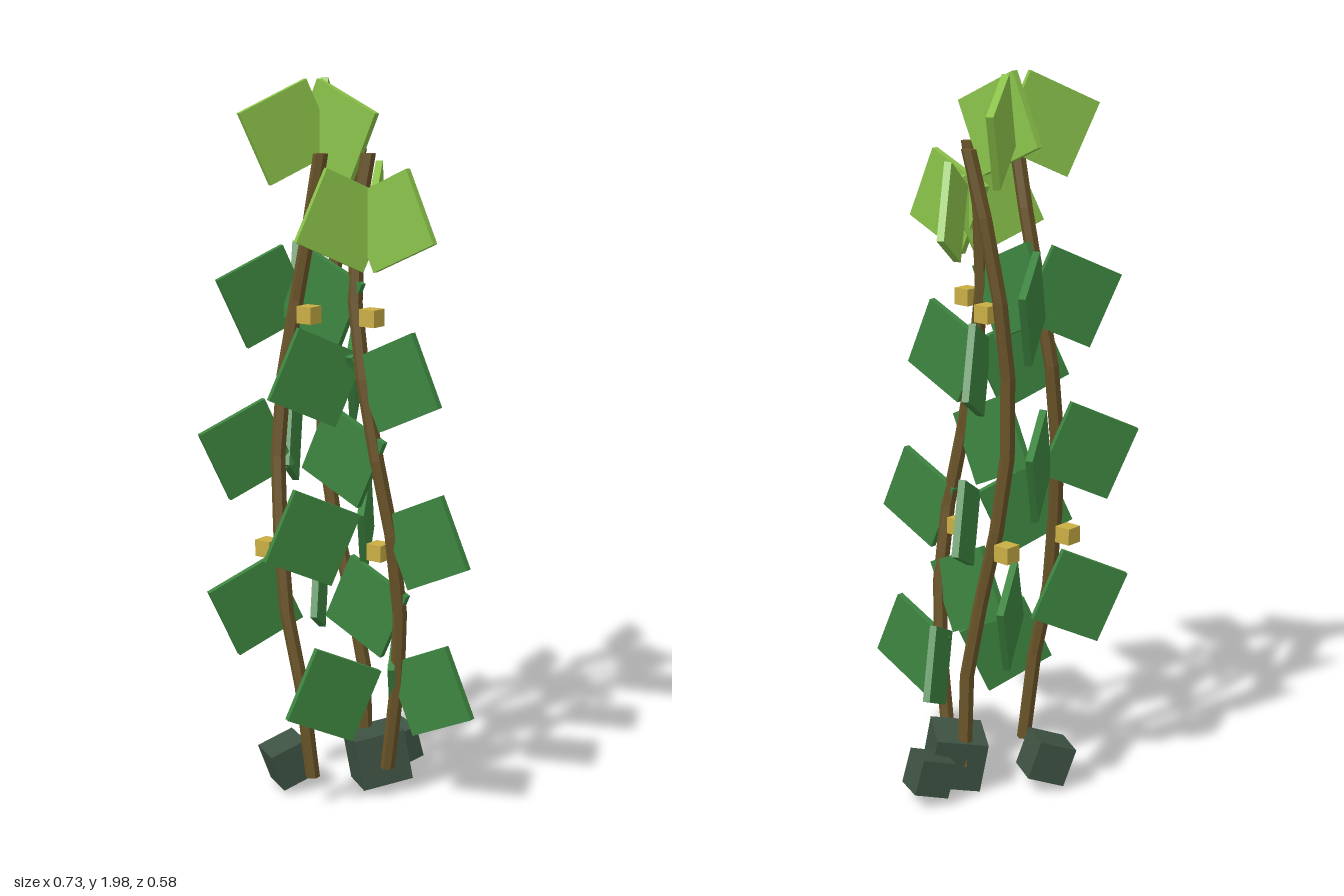
import * as THREE from 'three';

const mat = (name, color) => {
  const m = new THREE.MeshStandardMaterial({ color, flatShading: true });
  m.name = name;
  return m;
};

export function createModel() {
  const model = new THREE.Group();
  model.name = 'climbingVine';

  const bark = mat('bark brown', 0x6b5529);
  const leafGreen = mat('leaf green', 0x3d8540);
  const youngGreen = mat('young leaf green', 0x8bc34a);
  const budGold = mat('bud gold', 0xc9ae45);
  const stone = mat('mossy stone', 0x3d5242);

  const add = (parent, name, geometry, material, x, y, z) => {
    const mesh = new THREE.Mesh(geometry, material);
    mesh.name = name;
    mesh.position.set(x, y, z);
    parent.add(mesh);
    return mesh;
  };

  // Each stem: [x, z] at the shared heights, with the yaw of its leaves
  const heights = [0.1, 0.36, 0.57, 0.79, 1.0, 1.22, 1.42, 1.64, 1.81];
  const stems = [
    { yaw: 0, path: [[0.07, -0.035], [0.11, -0.025], [0.127, -0.01], [0.12, 0.018], [0.085, 0.04],
      [0.045, 0.048], [0.015, 0.042], [0.01, 0.025], [0.03, 0.004]] },
    { yaw: 2 * Math.PI / 3, path: [[-0.06, -0.11], [-0.06, -0.1], [-0.095, -0.085], [-0.145, -0.075], [-0.175, -0.067],
      [-0.18, -0.072], [-0.172, -0.095], [-0.14, -0.12], [-0.1, -0.135]] },
    { yaw: -2 * Math.PI / 3, path: [[-0.06, 0.14], [-0.085, 0.155], [-0.13, 0.162], [-0.155, 0.155], [-0.177, 0.135],
      [-0.172, 0.112], [-0.143, 0.092], [-0.1, 0.084], [-0.065, 0.085]] },
  ];

  const leafGeo = new THREE.BoxGeometry(0.208, 0.208, 0.019);
  const budGeo = new THREE.BoxGeometry(0.048, 0.046, 0.048);
  const last = heights.length - 1;

  for (const { yaw, path } of stems) {
    const vine = new THREE.Group();
    vine.name = 'vine';
    model.add(vine);

    // Stem: a six-sided column whose rings follow the path
    const geo = new THREE.CylinderGeometry(0.02, 0.02, 1, 6, last);
    const p = geo.attributes.position;
    for (let i = 0; i < p.count; i++) {
      const row = Math.round((p.getY(i) + 0.5) * last);
      p.setXYZ(i, p.getX(i) + path[row][0], heights[row], p.getZ(i) + path[row][1]);
    }
    geo.computeVertexNormals();
    add(vine, 'stem', geo, bark, 0, 0, 0);

    // Leaves alternate from side to side; the top two are young
    for (let i = 1; i <= last; i++) {
      const side = i % 2 ? 1 : -1;
      const y = i === last ? 1.862 : heights[i];
      const leaf = add(vine, i > last - 2 ? 'youngLeaf' : 'leaf', leafGeo,
        i > last - 2 ? youngGreen : leafGreen, path[i][0] + side * 0.11, y, path[i][1]);
      leaf.rotation.set(0, yaw, side * 0.43, 'YXZ');
    }

    // Buds beside the stem
    for (const [y, row, side] of [[0.74, 2, -1], [1.385, 5, 1]]) {
      const t = (y - heights[row]) / (heights[row + 1] - heights[row]);
      const at = (k) => THREE.MathUtils.lerp(path[row][k], path[row + 1][k], t);
      add(vine, 'bud', budGeo, budGold, at(0) + side * 0.05, y, at(1));
    }
  }

  // Stones round the base: [x, y, z, size, tilt x, yaw, tilt z]
  for (const [x, y, z, s, rx, ry, rz] of [
    [-0.195, 0.1, 0.08, 0.11, 0.4, -0.5, 0.2],
    [-0.005, 0.107, -0.09, 0.145, 0.2, -0.65, 0.22],
    [-0.025, 0.098, -0.215, 0.1, 0.3, -0.42, 0.1],
  ]) {
    add(model, 'stone', new THREE.BoxGeometry(s, s, s), stone, x, y, z).rotation.set(rx, ry, rz);
  }

  return model;
}
